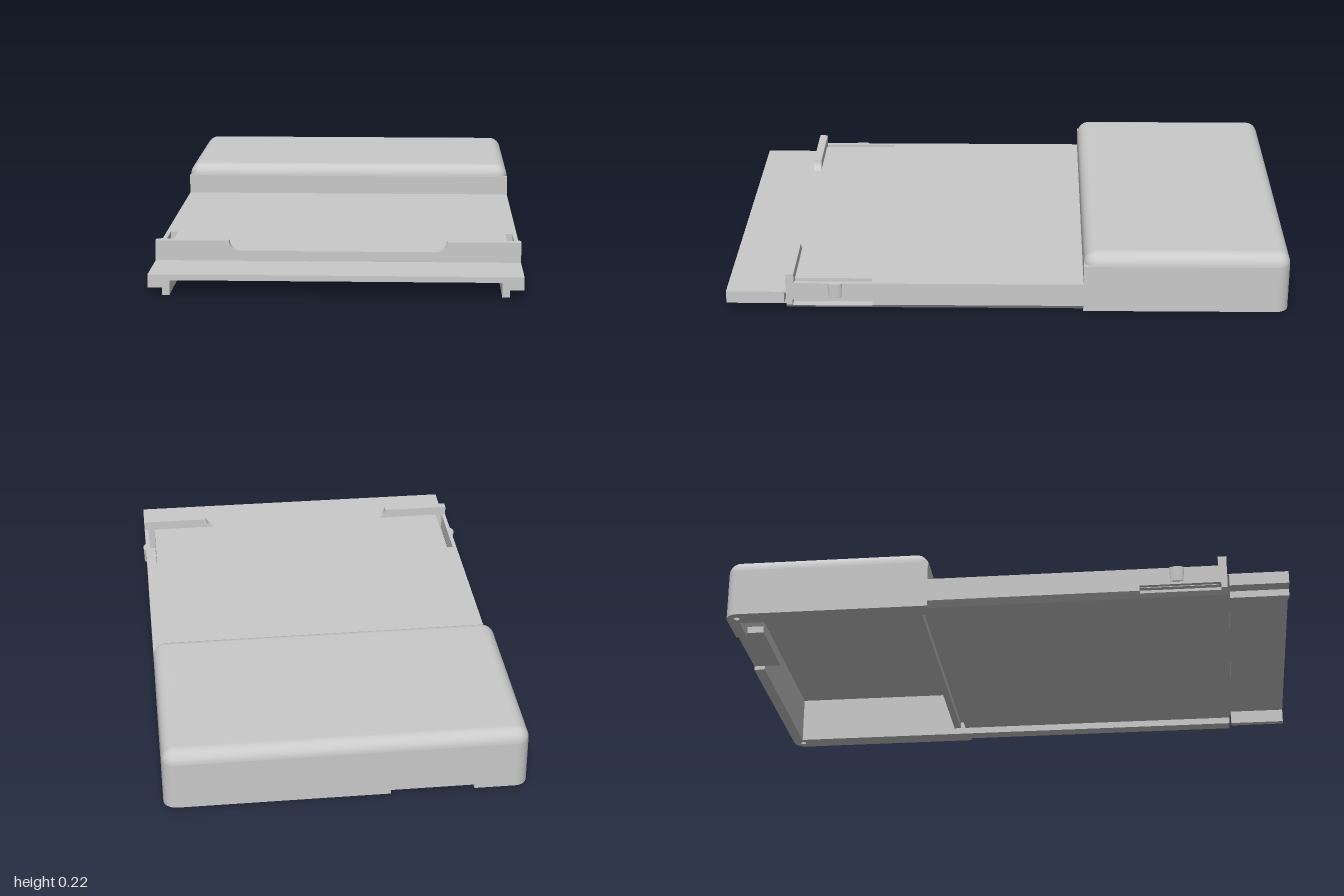
import * as THREE from 'three';

export function createModel() {
  const model = new THREE.Group();
  const grey = new THREE.MeshStandardMaterial({ color: 0xcacaca });
  const add = (name, geometry) => {
    const mesh = new THREE.Mesh(geometry, grey);
    mesh.name = name;
    model.add(mesh);
  };
  const polygon = (pts) => new THREE.Shape(pts.map(([x, y]) => new THREE.Vector2(x, y)));
  const box = (name, x0, x1, y0, y1, z0, z1) => add(name, new THREE.BoxGeometry(x1 - x0, y1 - y0, z1 - z0)
    .translate((x0 + x1) / 2, (y0 + y1) / 2, (z0 + z1) / 2));
  // Extrude an x-y profile along z
  const alongZ = (name, shape, z0, z1) => add(name,
    new THREE.ExtrudeGeometry(shape, { depth: z1 - z0, bevelEnabled: false, curveSegments: 8 }).translate(0, 0, z0));
  // Extrude a plan outline (x, -z) upwards
  const upwards = (name, shape, y0, y1) => add(name,
    new THREE.ExtrudeGeometry(shape, { depth: y1 - y0, bevelEnabled: false, curveSegments: 8 })
      .rotateX(-Math.PI / 2).translate(0, y0, 0));

  const W = 0.628, IN = 0.555, STEP = -0.27, END = 0.787, R = 0.045;

  // Deck plate with a narrow flex slot near each side
  const deck = polygon([[-W, -END], [W, -END], [W, -STEP], [-W, -STEP]]);
  for (const s of [-1, 1]) {
    deck.holes.push(polygon([[s * 0.588, -0.757], [s * 0.613, -0.757], [s * 0.613, -0.48], [s * 0.588, -0.48]]));
  }
  upwards('deck', deck, 0.05, 0.105);
  box('deckUnderside', -IN, IN, 0.025, 0.05, -0.285, END);

  // Half of the raised housing's wall, cut at xCut so the cable notch can be left open
  const wallHalf = (s, xCut) => {
    const shape = new THREE.Shape();
    shape.moveTo(s * W, -STEP);
    shape.lineTo(s * W, 1 - R);
    for (let i = 1; i <= 8; i++) {
      const a = i / 8 * Math.PI / 2;
      shape.lineTo(s * (W - R + R * Math.cos(a)), 1 - R + R * Math.sin(a));
    }
    shape.lineTo(xCut, 1);
    shape.lineTo(xCut, 0.96);
    shape.lineTo(s * IN, 0.96);
    shape.lineTo(s * IN, -STEP);
    const hole = new THREE.Path();
    hole.absarc(s * 0.59, 0.963, 0.011, 0, Math.PI * 2);
    shape.holes.push(hole);
    return shape;
  };

  for (const s of [-1, 1]) {
    const side = s > 0 ? 'left' : 'right';
    const mirror = (pts) => polygon(pts.map(([x, y]) => [s * x, y]));

    // Housing walls, with the notch in the lowest layer at the back
    upwards(side + 'HousingWall', wallHalf(s, 0), 0.015, 0.175);
    upwards(side + 'HousingFoot', wallHalf(s, s > 0 ? -0.15 : -0.44), 0, 0.015);

    // Chamfered bottom rail, recessed beneath the spring arm
    const rail = [[IN, 0.05], [IN, 0], [0.608, 0], [W, 0.02], [W, 0.05]];
    const recessed = [[IN, 0.04], [IN, 0], [0.608, 0], [0.621, 0.013], [0.588, 0.013], [0.588, 0.04]];
    alongZ(side + 'RailRear', mirror(rail), STEP, 0.48);
    alongZ(side + 'RailRecess', mirror(recessed), 0.48, 0.765);
    alongZ(side + 'RailFront', mirror(rail), 0.765, END);
    const [armIn, armOut] = s > 0 ? [0.613, W] : [-W, -0.613];
    box(side + 'SpringArm', armIn, armOut, 0.04, 0.05, 0.48, 0.765);

    // Raised lip with a filleted inner end
    const lip = new THREE.Shape();
    lip.moveTo(s * W, 0.105);
    lip.lineTo(s * W, 0.14);
    lip.lineTo(s * 0.375, 0.14);
    lip.quadraticCurveTo(s * 0.372, 0.106, s * 0.335, 0.105);
    alongZ(side + 'Lip', lip, 0.757, END);

    // Rounded latch bump on the side
    add(side + 'Latch', new THREE.CylinderGeometry(0.027, 0.023, 0.055, 20).scale(0.45, 1, 1)
      .translate(s * 0.626, 0.0775, 0.612));
  }

  // Front wall, ceiling and notch shelf of the hollow housing
  box('housingFrontWall', -IN, IN, 0.05, 0.175, -0.33, STEP);
  box('housingFrontRib', -IN, IN, 0.025, 0.05, -0.33, -0.305);
  box('notchShelf', -0.44, -0.15, 0.015, 0.04, -0.96, -0.9);
  box('housingCeiling', -0.6, 0.6, 0.175, 0.19, -0.98, -0.29);
  box('housingRoof', -W + R, W - R, 0.185, 0.22, -1 + R, STEP - R);

  // Rounded shoulder of the housing: rings shrinking along a quarter circle
  const positions = [], index = [], rings = 8, corner = 8;
  const n = 4 * (corner + 1);
  for (let i = 0; i <= rings; i++) {
    const a = i / rings * Math.PI / 2, r = R * Math.cos(a);
    for (let q = 0; q < 4; q++) {
      const sx = q === 0 || q === 3 ? 1 : -1, sz = q < 2 ? 1 : -1;
      for (let k = 0; k <= corner; k++) {
        const t = (q + k / corner) * Math.PI / 2;
        positions.push(sx * (W - R) + r * Math.cos(t), 0.175 + R * Math.sin(a),
          -0.635 + sz * (0.365 - R) + r * Math.sin(t));
      }
    }
  }
  for (let i = 0; i < rings; i++) {
    for (let j = 0; j < n; j++) {
      const a = i * n + j, b = i * n + (j + 1) % n;
      index.push(a, a + n, b, b, a + n, b + n);
    }
  }
  const shoulder = new THREE.BufferGeometry();
  shoulder.setAttribute('position', new THREE.Float32BufferAttribute(positions, 3));
  shoulder.setIndex(index);
  shoulder.computeVertexNormals();
  add('housingShoulder', shoulder);

  // Front tongue with a guide leg under each side, joined to the deck by a thin web
  const half = [[W, 0.07], [W, 0.025], [0.58, 0.025], [0.58, 0], [IN, 0], [IN, 0.05]];
  const tongue = [...half, ...half.map(([x, y]) => [-x, y]).reverse()];
  alongZ('tongue', polygon(tongue), 0.794, 1);
  box('tongueWeb', -W, W, 0.067, 0.07, END, 0.794);

  return model;
}
